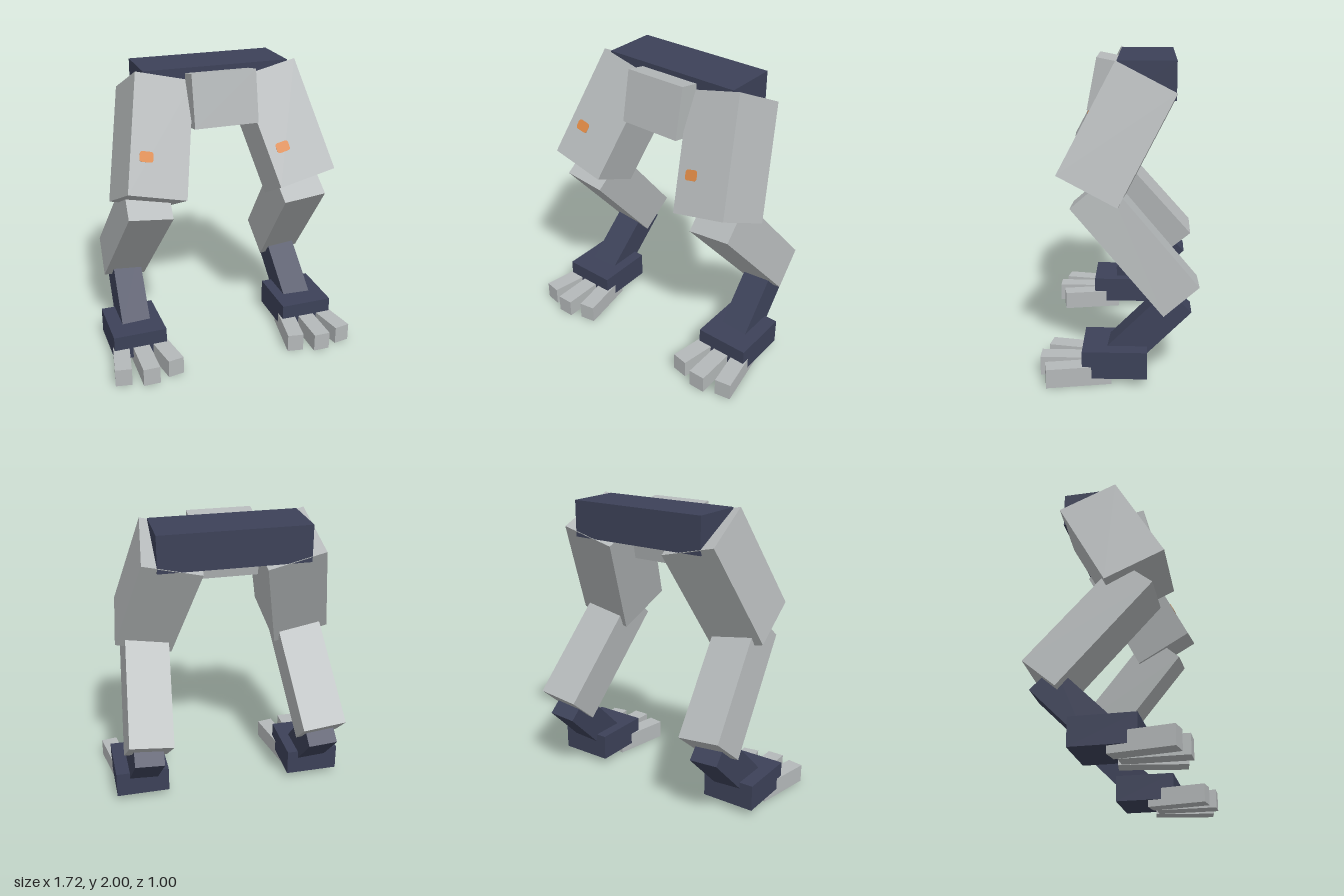
import * as THREE from 'three';

const deg = Math.PI / 180;

export function createModel() {
  const model = new THREE.Group();
  model.name = 'mechanicalLegs';

  const material = (name, color) => {
    const m = new THREE.MeshStandardMaterial({ color });
    m.name = name;
    return m;
  };
  const grey = material('light grey', 0xb4b8b9);
  const navy = material('dark navy', 0x3c4158);
  const orange = material('orange', 0xdd8844);

  // A box that is pitched about x first, then splayed about z
  function box(parent, name, mat, size, pos, pitch = 0, yaw = 0, splay = 0) {
    const mesh = new THREE.Mesh(new THREE.BoxGeometry(...size), mat);
    mesh.name = name;
    mesh.position.set(...pos);
    mesh.rotation.set(pitch * deg, yaw * deg, splay * deg, 'ZYX');
    parent.add(mesh);
    return mesh;
  }

  // Hips
  box(model, 'pelvis', navy, [0.98, 0.242, 0.368], [0, 1.874, -0.169]);
  box(model, 'frontPlate', grey, [0.43, 0.345, 0.3], [0, 1.79, 0.04], -11);

  // Orange oval badge outline
  const badge = new THREE.Shape();
  const w = 0.045, h = 0.034, c = 0.02;
  badge.moveTo(-w + c, -h);
  badge.lineTo(w - c, -h);
  badge.quadraticCurveTo(w, -h, w, -h + c);
  badge.lineTo(w, h - c);
  badge.quadraticCurveTo(w, h, w - c, h);
  badge.lineTo(-w + c, h);
  badge.quadraticCurveTo(-w, h, -w, h - c);
  badge.lineTo(-w, -h + c);
  badge.quadraticCurveTo(-w, -h, -w + c, -h);
  const badgeGeometry = new THREE.ExtrudeGeometry(badge, { depth: 0.004, bevelEnabled: false, curveSegments: 4 });

  for (const s of [1, -1]) {
    const leg = new THREE.Group();
    leg.name = s > 0 ? 'leftLeg' : 'rightLeg';
    model.add(leg);

    // Leg segments, zigzagging from hip to ankle
    const thigh = box(leg, 'thigh', grey, [0.39, 0.775, 0.422], [s * 0.4525, 1.526, 0.01], -27.3, 0, s * 13.4);
    box(leg, 'shin', grey, [0.295, 0.889, 0.29], [s * 0.563, 0.863, -0.105], 40.7, 0, s * 6);
    box(leg, 'ankle', navy, [0.2, 0.54, 0.21], [s * 0.608, 0.335, -0.195], -45, 0, s * 3.5);

    // Badge sits at the same spot on both thighs
    const spot = new THREE.Mesh(badgeGeometry, orange);
    spot.name = 'thighBadge';
    spot.position.set(-0.09, -0.138, 0.21);
    thigh.add(spot);

    // Foot with three splayed toes
    box(leg, 'foot', navy, [0.37, 0.18, 0.408], [s * 0.625, 0.138, 0.018]);
    box(leg, 'middleToe', grey, [0.115, 0.125, 0.42], [s * 0.6225, 0.0635, 0.29]);
    for (const t of [1, -1]) {
      box(leg, t > 0 ? 'outerToe' : 'innerToe', grey, [0.112, 0.125, 0.41],
        [s * (0.6225 + t * 0.146), 0.0635, 0.25], 0, s * t * 10);
    }
  }
  return model;
}
